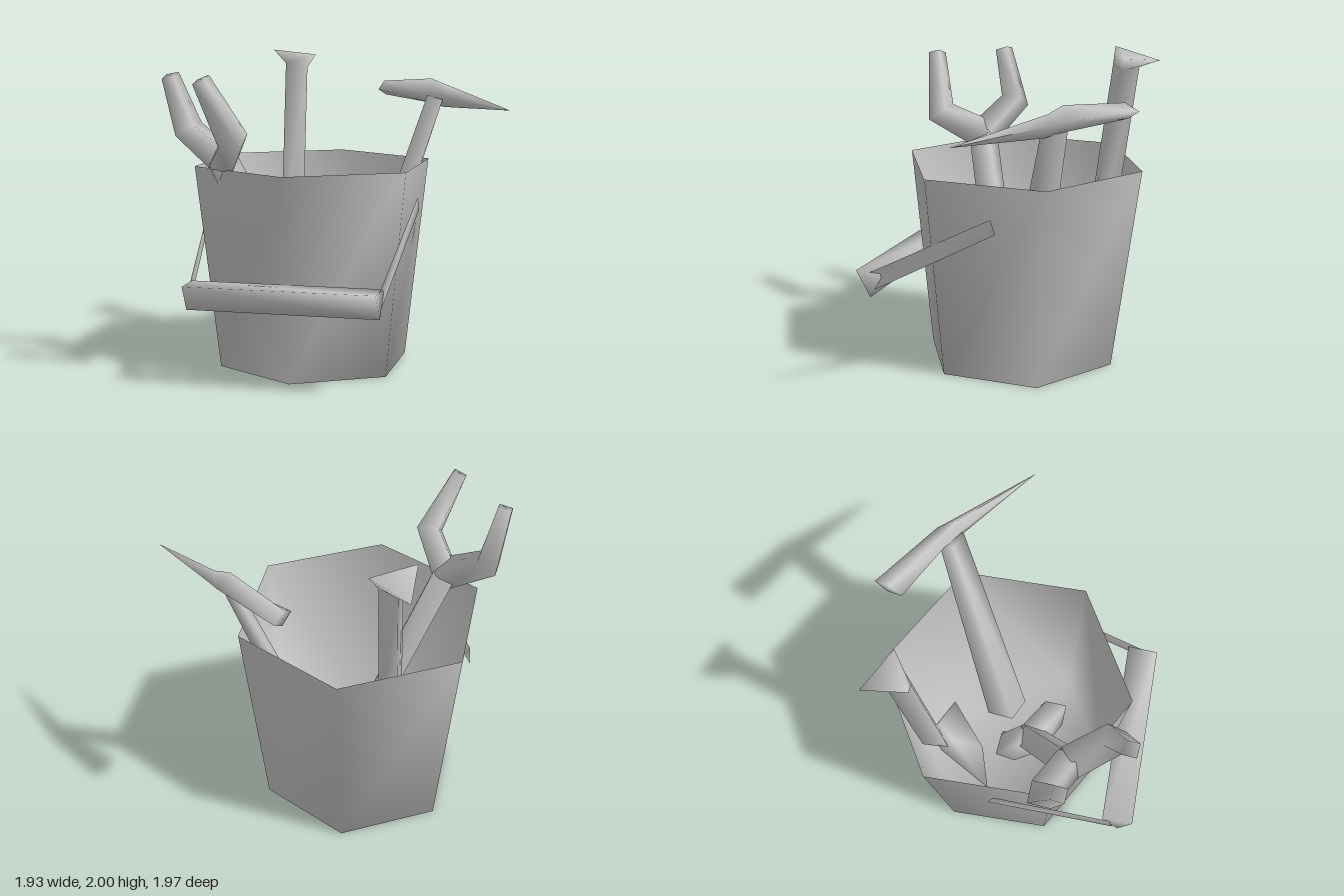
import * as THREE from 'three';

const metal = new THREE.MeshStandardMaterial({ color: 0xc8c8c8, side: THREE.DoubleSide });
metal.name = 'grey metal';

// Smooth skin through rings of equal point count, optionally closed at the ends
function loft(name, rings, capStart = true, capEnd = true) {
  const n = rings[0].length, pos = rings.flat(2), idx = [];
  for (let r = 0; r < rings.length - 1; r++) {
    for (let i = 0; i < n; i++) {
      const a = r * n + i, b = r * n + (i + 1) % n;
      idx.push(a, a + n, b, b, a + n, b + n);
    }
  }
  const last = (rings.length - 1) * n;
  for (let i = 1; i < n - 1; i++) {
    if (capStart) idx.push(0, i, i + 1);
    if (capEnd) idx.push(last, last + i + 1, last + i);
  }
  const g = new THREE.BufferGeometry();
  g.setAttribute('position', new THREE.Float32BufferAttribute(pos, 3));
  g.setIndex(idx);
  g.computeVertexNormals();
  const mesh = new THREE.Mesh(g, metal);
  mesh.name = name;
  return mesh;
}

// Four-sided rod along a bent path with a radius at every point
function rod(name, path, radii) {
  const pts = path.map(p => new THREE.Vector3(...p));
  const ref = new THREE.Vector3(0.45, 0.25, -0.85);
  const rings = pts.map((p, i) => {
    const t = new THREE.Vector3();
    if (i > 0) t.add(p.clone().sub(pts[i - 1]).normalize());
    if (i < pts.length - 1) t.add(pts[i + 1].clone().sub(p).normalize());
    t.normalize();
    const u = new THREE.Vector3().crossVectors(t, ref).normalize();
    const v = new THREE.Vector3().crossVectors(t, u);
    return [0, 1, 2, 3].map(k => {
      const a = k * Math.PI / 2;
      return p.clone().addScaledVector(u, Math.cos(a) * radii[i])
        .addScaledVector(v, Math.sin(a) * radii[i]).toArray();
    });
  });
  return loft(name, rings);
}

const hexagon = (cx, cz, y, r) => Array.from({ length: 6 }, (_, i) => {
  const a = THREE.MathUtils.degToRad(9 + 60 * i);
  return [cx + r * Math.cos(a), y, cz + r * Math.sin(a)];
});

const shift = (ring, dx, dy, dz) => ring.map(([x, y, z]) => [x + dx, y + dy, z + dz]);

export function createModel() {
  const model = new THREE.Group();
  model.name = 'toolBucket';

  // Open six-sided bucket
  model.add(loft('bucket', [hexagon(-0.195, -0.06, 0, 0.625), hexagon(-0.205, -0.075, 1.3, 0.78)], true, false));

  // Carrying handle: triangular grip with a flat strap at each end
  const handle = new THREE.Group();
  handle.name = 'carryingHandle';
  handle.add(loft('grip', [
    [[-0.43, 0.635, 0.98], [-0.5, 0.635, 0.8], [-0.465, 0.475, 0.9]],
    [[0.68, 0.64, 0.555], [0.62, 0.64, 0.37], [0.65, 0.475, 0.46]],
  ]));
  handle.add(loft('leftStrap', [
    [[0.41, 1.09, -0.35], [0.4, 1.0, -0.38]],
    [[0.65, 0.635, 0.47], [0.638, 0.53, 0.43]],
  ], false, false));
  handle.add(loft('rightStrap', [
    [[-0.83, 1.09, 0.2], [-0.85, 1.0, 0.17]],
    [[-0.46, 0.585, 0.89], [-0.475, 0.485, 0.86]],
  ], false, false));
  model.add(handle);

  // Pick hammer
  const hammer = new THREE.Group();
  hammer.name = 'hammer';
  hammer.add(loft('hammerShaft', [
    [[-0.11, 0.12, -0.3], [-0.06, 0.1, -0.14], [0.09, 0.12, -0.12], [0.04, 0.14, -0.28]],
    [[0.22, 1.72, -0.79], [0.25, 1.7, -0.71], [0.37, 1.68, -0.71], [0.33, 1.73, -0.78]],
  ]));
  hammer.add(loft('hammerHead', [
    [[-0.19, 1.785, -0.88], [-0.19, 1.745, -0.985], [-0.19, 1.69, -0.9], [-0.185, 1.73, -0.8]],
    [[0.25, 1.82, -0.77], [0.3, 1.74, -0.85], [0.25, 1.66, -0.77], [0.22, 1.72, -0.75]],
    [[0.37, 1.785, -0.76], [0.38, 1.73, -0.81], [0.37, 1.64, -0.73], [0.37, 1.71, -0.72]],
    Array.from({ length: 4 }, () => [0.955, 1.655, -0.545]),
  ]));
  model.add(hammer);

  // Spade standing on its blade
  const spade = new THREE.Group();
  spade.name = 'spade';
  const neck = [[-0.74, 1.89, -0.57], [-0.68, 1.91, -0.41], [-0.595, 1.88, -0.54]];
  spade.add(loft('spadeShaft', [
    [[-0.86, 1.925, -0.64], [-0.75, 2.0, -0.37], [-0.56, 1.965, -0.59]],
    neck,
    shift(neck, 0.06, -1.14, 0.14),
  ]));
  spade.add(loft('spadeBlade', [
    [[-0.6, 0.8, -0.42], [-0.66, 0.78, -0.3], [-0.57, 0.8, -0.27], [-0.52, 0.78, -0.4]],
    [[-0.56, 0.62, -0.43], [-0.68, 0.58, 0.05], [-0.46, 0.58, -0.12], [-0.28, 0.58, -0.44]],
    [[-0.52, 0.12, -0.26], [-0.56, 0.12, -0.1], [-0.47, 0.12, -0.16], [-0.4, 0.12, -0.3]],
  ]));
  model.add(spade);

  // Double-ended wrench leaning on the rim
  const wrench = new THREE.Group();
  wrench.name = 'wrench';
  const top = [-0.47, 1.34, 0.52], low = [-0.2, 0.42, 0.1];
  wrench.add(rod('wrenchShaft', [top, low], [0.1, 0.1]));
  const jaws = [
    [top, [-0.77, 1.53, 0.5], [-0.8, 1.87, 0.63]],
    [top, [-0.25, 1.5, 0.7], [-0.37, 1.87, 0.85]],
    [low, [-0.3, 0.28, -0.03], [-0.19, 0.07, -0.1]],
    [low, [0.07, 0.28, 0.12], [0.1, 0.07, 0.03]],
  ];
  jaws.forEach((path, i) => wrench.add(rod('wrenchJaw' + (i + 1), path, [0.105, 0.1, 0.06])));
  model.add(wrench);

  return model;
}
